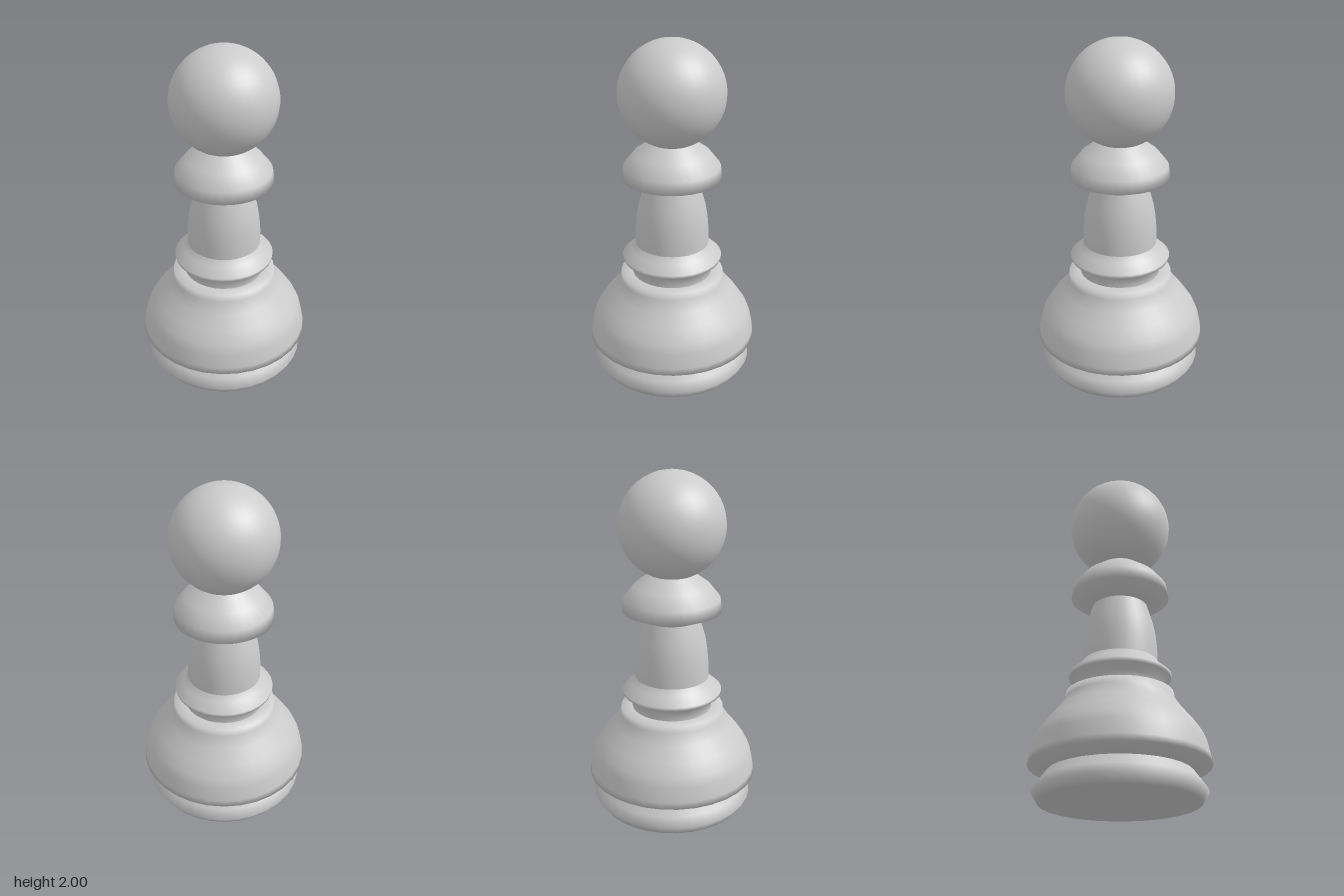
import * as THREE from 'three';

const SIDES = 32;
const material = new THREE.MeshStandardMaterial({ color: 0xcccccc });

// Turned part from [radius, height] points, listed bottom to top
function turned(name, profile) {
  const points = profile.map(([r, y]) => new THREE.Vector2(r, y));
  const mesh = new THREE.Mesh(new THREE.LatheGeometry(points, SIDES), material);
  mesh.name = name;
  return mesh;
}

export function createModel() {
  const model = new THREE.Group();
  model.name = 'pawn';

  // Ball head, cut off where it meets the collar
  const centre = 1.7, radius = 0.302, start = -1.136, steps = 20;
  const head = [];
  for (let i = 0; i <= steps; i++) {
    const a = start + (Math.PI / 2 - start) * i / steps;
    head.push([i === steps ? 0 : radius * Math.cos(a), centre + radius * Math.sin(a)]);
  }

  model.add(
    // Foot with closed underside
    turned('foot', [[0, 0], [0.44, 0], [0.475, 0.055], [0.44, 0.105], [0.4, 0.16]]),
    // Bell-shaped body with a flat ledge on top
    turned('body', [
      [0.4, 0.16], [0.5, 0.197], [0.495, 0.235], [0.477, 0.32], [0.455, 0.37],
      [0.41, 0.437], [0.35, 0.51], [0.307, 0.575], [0.303, 0.615], [0.235, 0.615],
    ]),
    // Ring below the stem
    turned('lowerRing', [
      [0.235, 0.615], [0.235, 0.668], [0.288, 0.703], [0.292, 0.725], [0.24, 0.77], [0.215, 0.805],
    ]),
    // Tapering stem
    turned('stem', [
      [0.215, 0.805], [0.214, 0.89], [0.207, 0.97], [0.195, 1.04], [0.175, 1.11], [0.16, 1.16],
    ]),
    // Flared collar under the head
    turned('collar', [[0.16, 1.16], [0.287, 1.215], [0.277, 1.285], [0.217, 1.36], [0.127, 1.426]]),
    turned('head', head),
  );
  return model;
}
